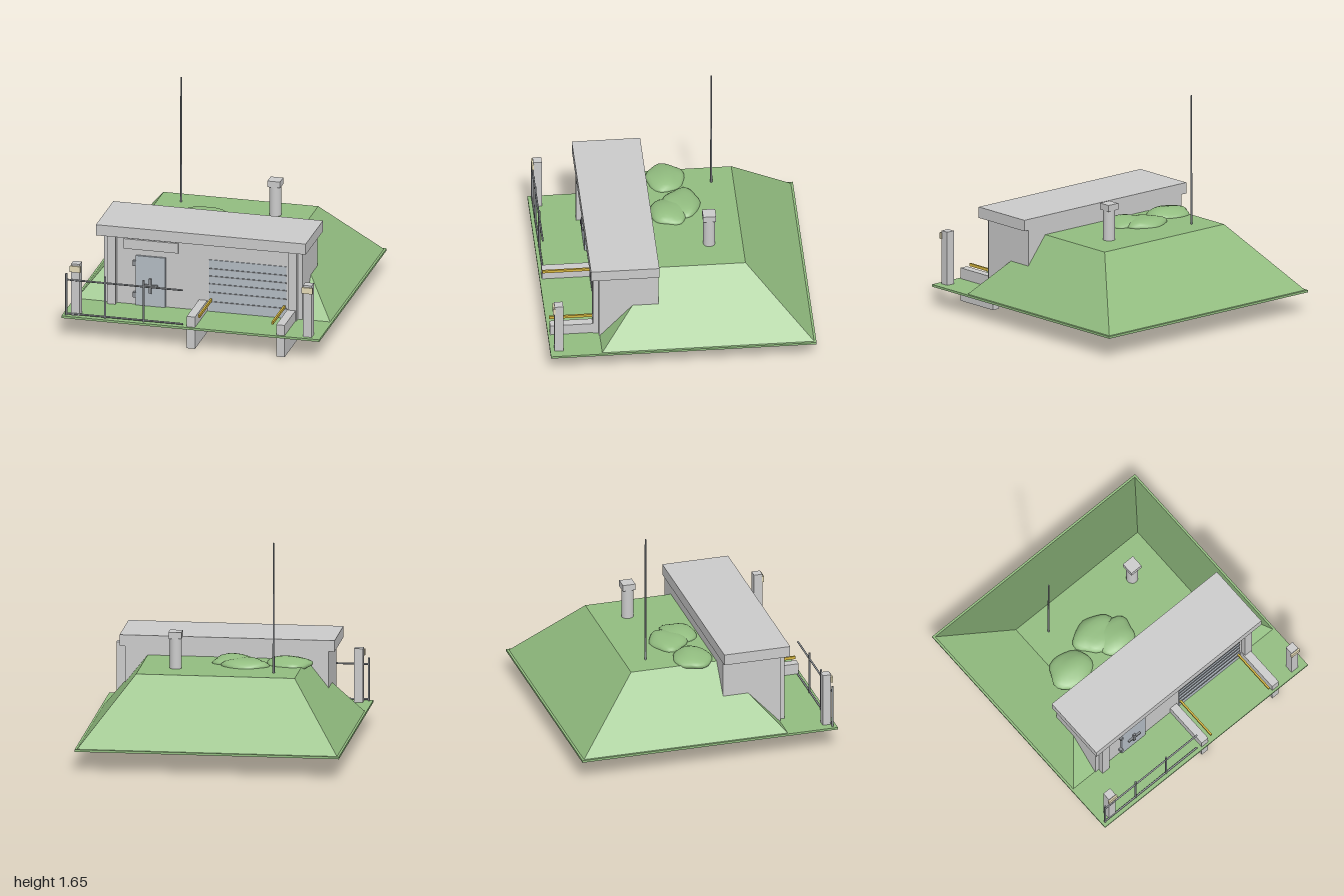
import * as THREE from 'three';
import { mergeVertices } from 'three/addons/utils/BufferGeometryUtils.js';

const mat = (color, extra = {}) => new THREE.MeshStandardMaterial({ color, ...extra });

export function createModel() {
  const root = new THREE.Group();
  const concrete = mat(0xcccccc);
  const steel = mat(0xb4bcc4);
  const metal = mat(0x8c9094);
  const grass = mat(0x92bd80);
  const yellow = mat(0xd8b840);
  const cream = mat(0xe6dcb8);
  const dark = mat(0x303034);

  const add = (name, geometry, material, parent = root) => {
    const mesh = new THREE.Mesh(geometry, material);
    mesh.name = name;
    parent.add(mesh);
    return mesh;
  };
  // Box given by its extents on each axis
  const box = (name, [x0, x1], [y0, y1], [z0, z1], material, parent) => {
    const mesh = add(name, new THREE.BoxGeometry(x1 - x0, y1 - y0, z1 - z0), material, parent);
    mesh.position.set((x0 + x1) / 2, (y0 + y1) / 2, (z0 + z1) / 2);
    return mesh;
  };
  const group = (name) => {
    const g = new THREE.Group();
    g.name = name;
    root.add(g);
    return g;
  };

  // Ground slab and sloped earth mound
  box('groundSlab', [-1, 1], [0.155, 0.172], [-1, 1], grass);
  const moundGeo = new THREE.BoxGeometry(1.97, 0.485, 1.6);
  const p = moundGeo.attributes.position;
  for (let i = 0; i < p.count; i++) {
    const top = p.getY(i) > 0;
    if (top) p.setX(i, Math.sign(p.getX(i)) * 0.6);
    const front = p.getZ(i) > 0;
    p.setZ(i, front ? (top ? 0.17 : 0.615) : (top ? -0.5 : -0.985));
    p.setY(i, top ? 0.655 : 0.17);
  }
  moundGeo.computeVertexNormals();
  add('mound', moundGeo, grass);

  // Building with corner pillars and overhanging roof
  box('walls', [-0.77, 0.77], [0.165, 0.725], [0.17, 0.618], concrete);
  box('roof', [-0.815, 0.812], [0.72, 0.805], [0.167, 0.682], concrete);
  for (const s of [-1, 1]) {
    const x = s * 0.7025;
    box('frontPillar', [x - 0.033, x + 0.033], [0.17, 0.722], [0.61, 0.662], concrete);
  }

  // Sectional garage door, reaching down to the foot of the ramp
  const garage = group('garageDoor');
  box('garageDoorPanel', [0.048, 0.647], [0.02, 0.585], [0.6, 0.624], steel, garage);
  for (const y of [0.515, 0.455, 0.393, 0.325, 0.25]) {
    box('panelSeam', [0.048, 0.647], [y - 0.004, y + 0.004], [0.62, 0.629], metal, garage);
  }

  // Entrance door with hinges and cross handle
  const door = group('entranceDoor');
  box('doorLeaf', [-0.52, -0.29], [0.172, 0.568], [0.61, 0.634], steel, door);
  for (const y of [0.255, 0.507]) {
    box('hinge', [-0.54, -0.515], [y - 0.02, y + 0.02], [0.615, 0.643], metal, door);
  }
  box('handleUpright', [-0.415, -0.395], [0.278, 0.394], [0.63, 0.648], metal, door);
  box('handleBar', [-0.463, -0.347], [0.326, 0.346], [0.63, 0.648], metal, door);
  box('signPlate', [-0.615, -0.19], [0.615, 0.694], [0.61, 0.632], concrete);

  // Ramp cut with retaining walls and guide rails
  for (const x of [0, 0.695]) {
    box('rampWall', [x - 0.032, x + 0.032], [0, 0.255], [0.618, 0.983], concrete);
  }
  for (const x of [0.063, 0.632]) {
    box('guideRail', [x - 0.007, x + 0.007], [0.253, 0.275], [0.62, 0.983], yellow);
  }
  const ramp = add('ramp', new THREE.BoxGeometry(0.64, 0.008, 0.388), dark);
  ramp.position.set(0.347, 0.088, 0.8);
  ramp.rotation.x = -Math.atan2(0.132, 0.365);

  // Gate posts with lamps
  for (const s of [-1, 1]) {
    const post = group(s > 0 ? 'leftGatePost' : 'rightGatePost');
    const x = s * 0.9;
    box('post', [x - 0.033, x + 0.033], [0.17, 0.585], [0.902, 0.967], concrete, post);
    box('lamp', [x - 0.041, x + 0.041], [0.522, 0.57], [0.963, 0.979], cream, post);
  }

  // Tubular fence along the front edge
  const fence = group('fence');
  for (const x of [-0.97, -0.67, -0.37]) {
    const post = add('fencePost', new THREE.CylinderGeometry(0.008, 0.008, 0.335, 10), metal, fence);
    post.position.set(x, 0.3375, 0.967);
  }
  for (const y of [0.455, 0.185]) {
    const rail = add('fenceRail', new THREE.CylinderGeometry(0.007, 0.007, 0.905, 10), metal, fence);
    rail.rotation.z = Math.PI / 2;
    rail.position.set(-0.5175, y, 0.967);
  }

  // Antenna and ventilation pipe
  const antenna = add('antenna', new THREE.CylinderGeometry(0.006, 0.008, 1.005, 10), metal);
  antenna.position.set(-0.42, 1.1525, -0.333);
  const pipe = add('ventPipe', new THREE.CylinderGeometry(0.045, 0.045, 0.25, 24), concrete);
  pipe.position.set(0.333, 0.77, -0.25);
  box('ventCap', [0.284, 0.382], [0.888, 0.937], [-0.299, -0.201], concrete);

  // Low, lumpy bushes on top of the mound: x, z, half width, half depth, phase
  const bushes = [
    [-0.49, 0.015, 0.178, 0.152, 0.4],
    [-0.172, -0.088, 0.18, 0.145, 2.1],
    [-0.075, 0.017, 0.17, 0.145, 4.0],
  ];
  for (const [x, z, rx, rz, phase] of bushes) {
    let geo = new THREE.IcosahedronGeometry(1, 3);
    geo.deleteAttribute('normal');
    geo.deleteAttribute('uv');
    geo = mergeVertices(geo, 1e-4);
    const v = new THREE.Vector3();
    const pos = geo.attributes.position;
    for (let i = 0; i < pos.count; i++) {
      v.fromBufferAttribute(pos, i);
      const bump = 0.97 + 0.06 * Math.sin(4 * v.x + phase) * Math.cos(3 * v.z - phase)
        + 0.05 * Math.sin(5 * v.z + 2 * v.y + phase);
      pos.setXYZ(i, v.x * bump * rx, v.y * bump * 0.055, v.z * bump * rz);
    }
    geo.computeVertexNormals();
    add('bush', geo, grass).position.set(x, 0.655, z);
  }

  return root;
}
